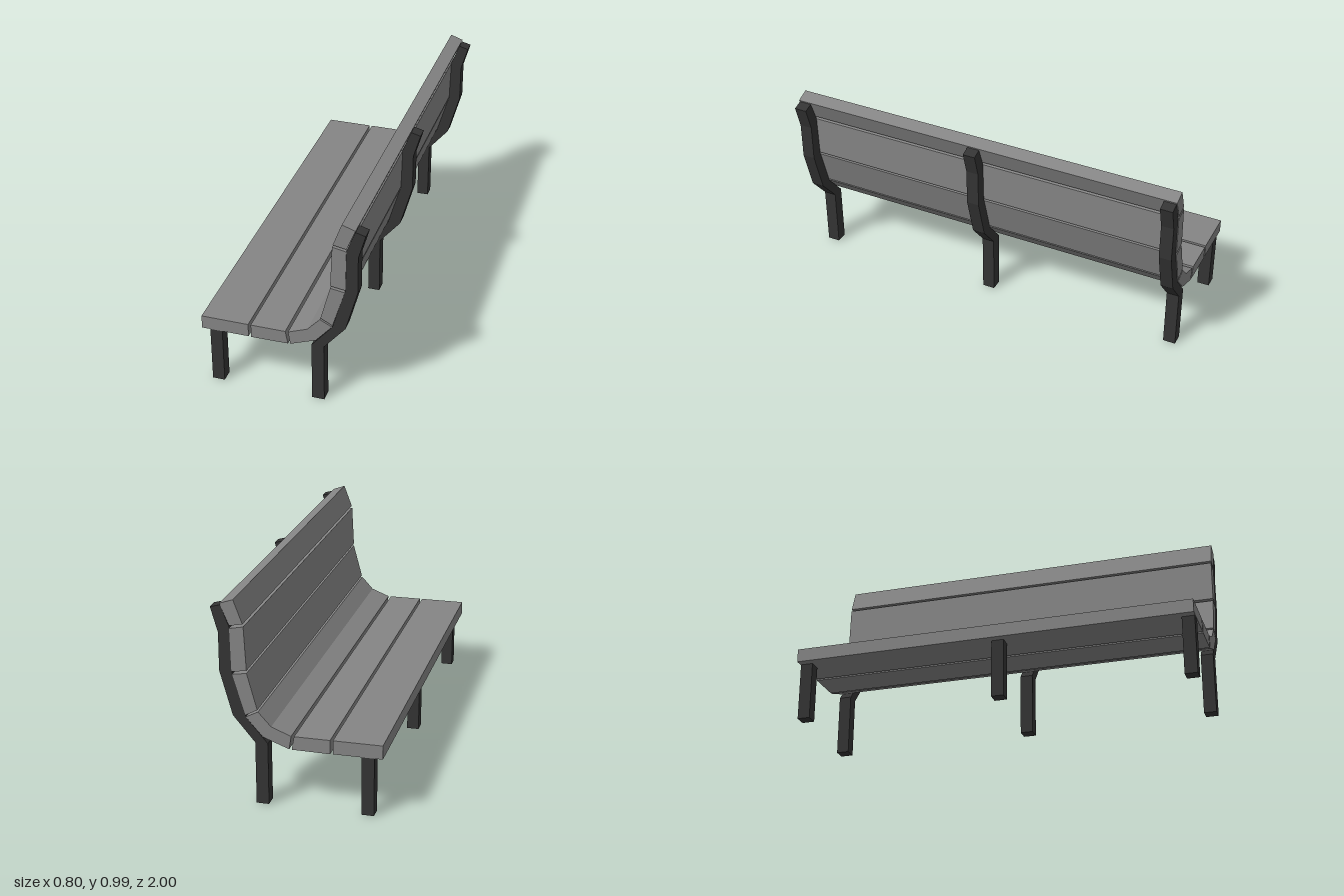
import * as THREE from 'three';

const slatGrey = new THREE.MeshStandardMaterial({ color: 0x858585 });
slatGrey.name = 'slatGrey';
const frameBlack = new THREE.MeshStandardMaterial({ color: 0x343434 });
frameBlack.name = 'frameBlack';

// Extrude an outline in the x-y plane from z to z + depth
function prism(name, points, z, depth, material) {
  const shape = new THREE.Shape(points.map(([x, y]) => new THREE.Vector2(x, y)));
  const geometry = new THREE.ExtrudeGeometry(shape, { depth, bevelEnabled: false });
  const mesh = new THREE.Mesh(geometry, material);
  mesh.name = name;
  mesh.position.z = z;
  return mesh;
}

// Slat cross-sections, from the seat edge up to the top of the backrest
const slats = {
  seatSlatFront: [[-0.4, 0.29], [-0.168, 0.29], [-0.168, 0.357], [-0.4, 0.357]],
  seatSlatRear: [[-0.155, 0.289], [0.026, 0.291], [0.014, 0.357], [-0.155, 0.357]],
  curvedSlat: [[0.038, 0.292], [0.162, 0.339], [0.241, 0.431], [0.183, 0.461], [0.122, 0.394], [0.028, 0.357]],
  backSlatLower: [[0.243, 0.439], [0.301, 0.634], [0.233, 0.645], [0.186, 0.47]],
  backSlatMiddle: [[0.304, 0.647], [0.309, 0.854], [0.243, 0.867], [0.233, 0.657]],
  backSlatTop: [[0.309, 0.867], [0.351, 0.97], [0.288, 0.992], [0.246, 0.879]],
};

// Bent rear post, following the back of the slats
const rearPost = [
  [0.14, 0], [0.2, 0], [0.2, 0.307], [0.304, 0.432], [0.363, 0.646], [0.363, 0.83],
  [0.397, 0.949], [0.349, 0.962], [0.309, 0.857], [0.304, 0.646], [0.241, 0.428], [0.14, 0.307],
];
const frontLeg = [[-0.36, 0], [-0.3, 0], [-0.3, 0.29], [-0.36, 0.29]];

export function createModel() {
  const bench = new THREE.Group();
  bench.name = 'bench';

  for (const [name, points] of Object.entries(slats)) {
    bench.add(prism(name, points, -1, 2, slatGrey));
  }

  // Three supports, each a front leg and a rear post
  for (const z of [-0.997, 0.002, 0.935]) {
    const support = new THREE.Group();
    support.name = 'support';
    support.add(prism('frontLeg', frontLeg, z, 0.062, frameBlack));
    support.add(prism('rearPost', rearPost, z, 0.062, frameBlack));
    bench.add(support);
  }
  return bench;
}
